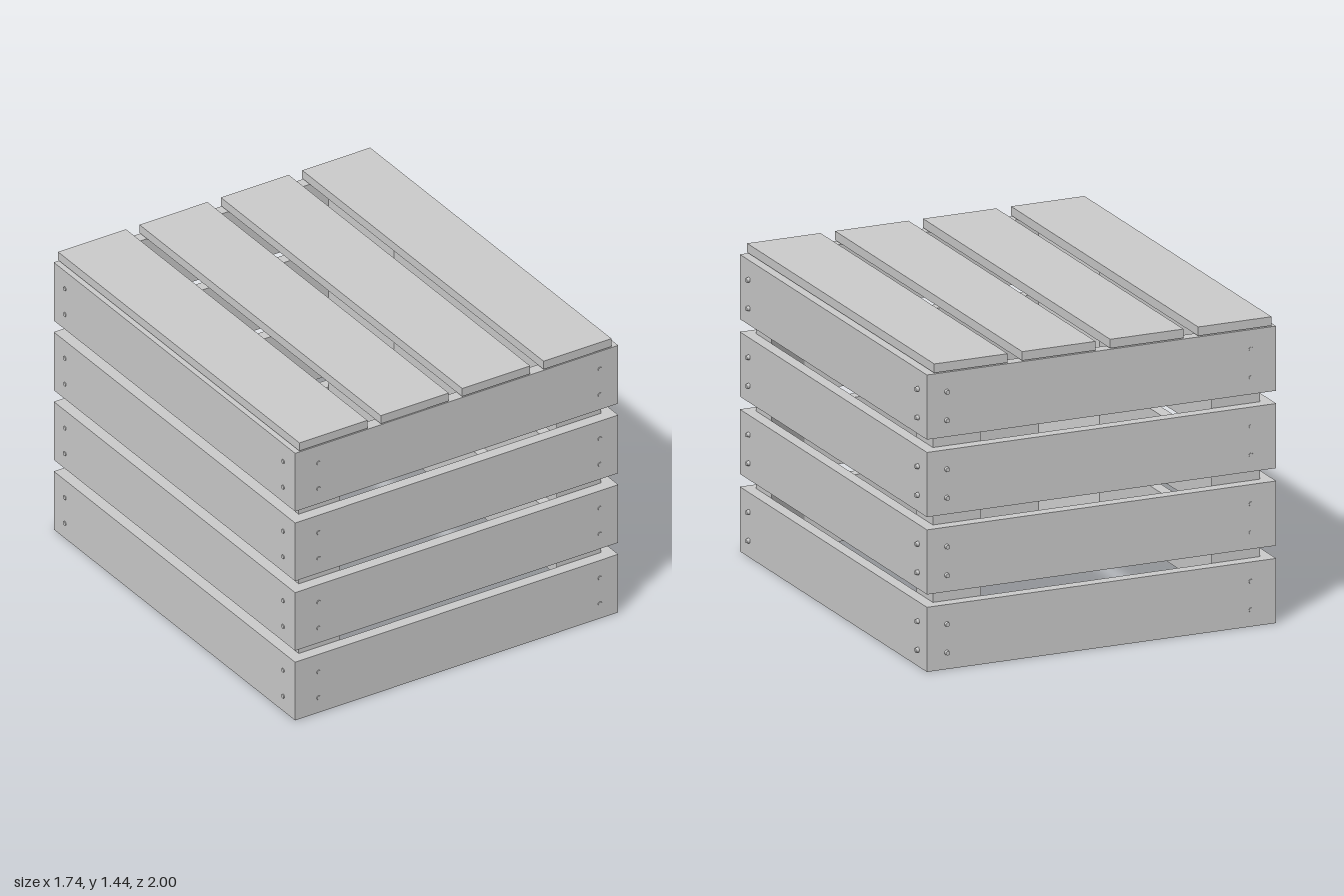
import * as THREE from 'three';

const material = new THREE.MeshStandardMaterial({ color: 0xcccccc, flatShading: true });

// Outer faces of the crate and the common board sizes
const X0 = -0.87, X1 = 0.853, Z0 = -0.987, Z1 = 0.993;
const T = 0.055, SLAT_H = 0.303, SLAT_STEP = 0.363, TOP_Y = 1.397;

function board(name, x0, x1, y0, y1, z0, z1) {
  const mesh = new THREE.Mesh(new THREE.BoxGeometry(x1 - x0, y1 - y0, z1 - z0), material);
  mesh.position.set((x0 + x1) / 2, (y0 + y1) / 2, (z0 + z1) / 2);
  mesh.name = name;
  return mesh;
}

// Triangular corner post: right angle at (x, z), legs running along x and z
function cornerPost(x, z, legX, legZ) {
  const shape = new THREE.Shape([
    new THREE.Vector2(x, -z),
    new THREE.Vector2(x + legX, -z),
    new THREE.Vector2(x, -(z + legZ)),
  ]);
  const geometry = new THREE.ExtrudeGeometry(shape, { depth: TOP_Y - 0.002, bevelEnabled: false });
  geometry.rotateX(-Math.PI / 2).translate(0, 0.002, 0);
  const mesh = new THREE.Mesh(geometry, material);
  mesh.name = 'cornerPost';
  return mesh;
}

// Round screw head; its outer face ends at the given point along the outward normal
const screwGeometry = new THREE.CylinderGeometry(0.01, 0.013, 0.02, 12).translate(0, -0.01, 0);
const UP = new THREE.Vector3(0, 1, 0);
function screw(x, y, z, nx, nz) {
  const mesh = new THREE.Mesh(screwGeometry, material);
  mesh.quaternion.setFromUnitVectors(UP, new THREE.Vector3(nx, 0, nz));
  mesh.position.set(x, y, z);
  mesh.name = 'screw';
  return mesh;
}

export function createModel() {
  const crate = new THREE.Group();
  crate.name = 'slattedCrate';

  // Four rings of wall slats with two screws at each end
  for (let i = 0; i < 4; i++) {
    const ring = new THREE.Group();
    ring.name = 'slatRing';
    const y0 = i * SLAT_STEP, y1 = y0 + SLAT_H;
    ring.add(
      board('frontSlat', X0, X1 - T, y0, y1, Z1 - T, Z1),
      board('backSlat', X0 + T, X1 - T, y0, y1, Z0, Z0 + T),
      board('leftSlat', X1 - T, X1, y0, y1, Z0, Z1),
      board('rightSlat', X0, X0 + T, y0, y1, Z0, Z1 - T),
    );
    for (const y of [y0 + 0.078, y0 + 0.212]) {
      for (const z of [-0.895, 0.895]) {
        ring.add(screw(X1 + 0.015, y, z, 1, 0), screw(X0 - 0.004, y, z, -1, 0));
      }
      for (const x of [-0.745, 0.755]) {
        ring.add(screw(x, y, Z1 + 0.004, 0, 1));
        ring.add(screw(x, y, Z0 - (x > 0 ? 0.013 : 0.003), 0, -1));
      }
    }
    crate.add(ring);
  }

  // Corner posts inside the walls
  const xa = X0 + T, xb = X1 - T, za = Z0 + T, zb = Z1 - T;
  crate.add(
    cornerPost(xa, zb, 0.22, -0.173),
    cornerPost(xb, zb, -0.238, -0.161),
    cornerPost(xa, za, 0.242, 0.172),
    cornerPost(xb, za, -0.238, 0.172),
  );

  // Lid boards
  for (let i = 0; i < 4; i++) {
    const x = -0.847 + i * 0.434;
    crate.add(board('topBoard', x, x + 0.362, TOP_Y, 1.439, Z0, Z1));
  }
  return crate;
}
